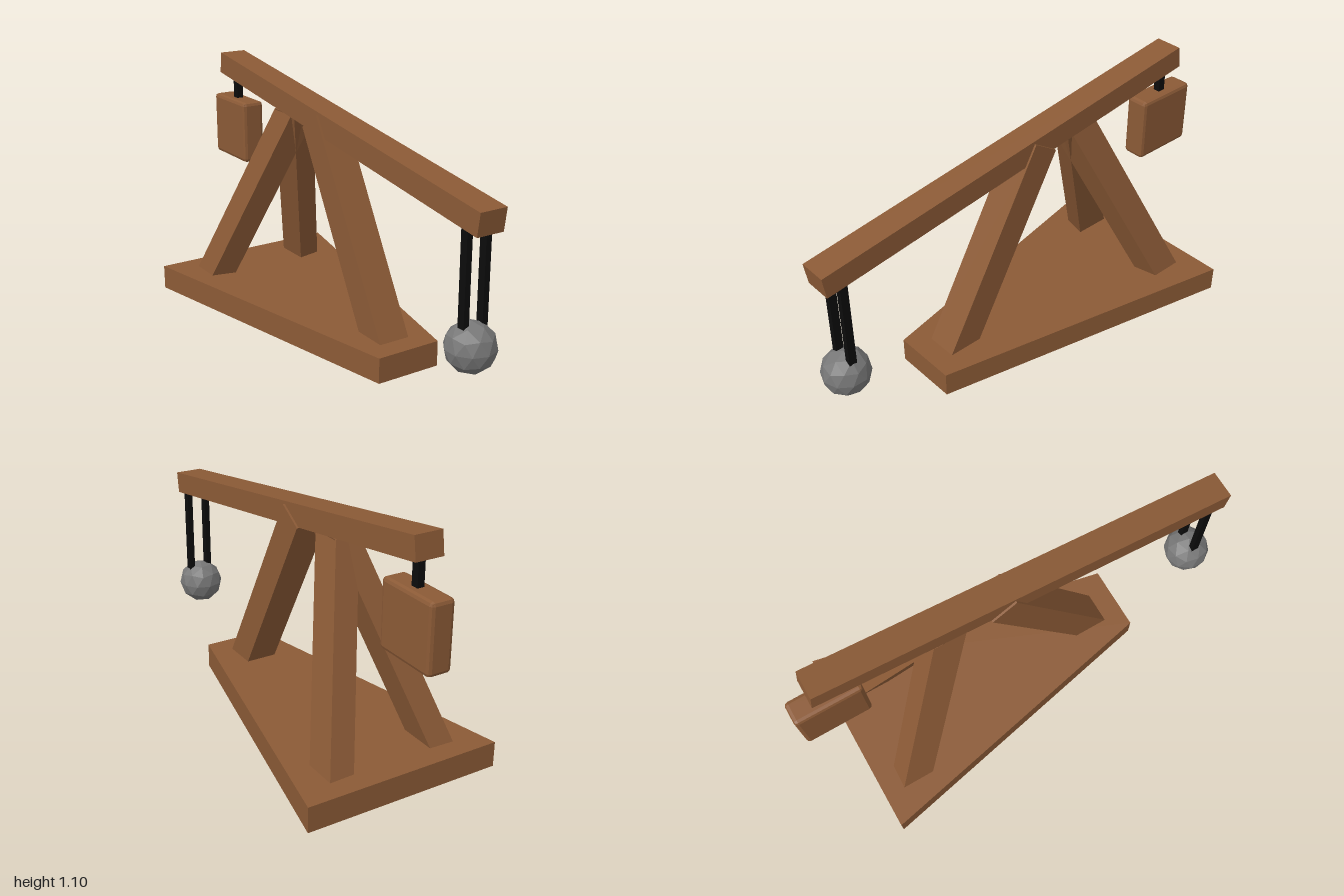
import * as THREE from 'three';
import { RoundedBoxGeometry } from 'three/addons/geometries/RoundedBoxGeometry.js';

const wood = new THREE.MeshStandardMaterial({ color: 0x8b5a36, flatShading: true });
const black = new THREE.MeshStandardMaterial({ color: 0x0c0c0c, flatShading: true });
const stone = new THREE.MeshStandardMaterial({ color: 0x777777, flatShading: true });

// Solid between two four-cornered ends, corners counterclockwise seen from above
function beam(bottom, top) {
  const pos = [];
  const quad = (a, b, c, d) => pos.push(...a, ...b, ...c, ...a, ...c, ...d);
  for (let i = 0; i < 4; i++) {
    const j = (i + 1) % 4;
    quad(bottom[i], bottom[j], top[j], top[i]);
  }
  quad(...top);
  quad(...[...bottom].reverse());
  const geometry = new THREE.BufferGeometry();
  geometry.setAttribute('position', new THREE.Float32BufferAttribute(pos, 3));
  geometry.computeVertexNormals();
  return geometry;
}

export function createModel() {
  const model = new THREE.Group();
  model.name = 'catapult';
  const add = (name, geometry, material, x = 0, y = 0, z = 0) => {
    const mesh = new THREE.Mesh(geometry, material);
    mesh.name = name;
    mesh.position.set(x, y, z);
    model.add(mesh);
    return mesh;
  };

  // Tapered base slab
  const slab = (y) => [[-0.145, y, 0.53], [0.145, y, 0.53], [0.436, y, -0.84], [-0.436, y, -0.84]];
  add('base', beam(slab(0), slab(0.11)), wood);

  // Front leg, leaning back with a square-cut top
  const across = (front, back) => [
    [-0.07, ...front], [0.07, ...front], [0.07, ...back], [-0.07, ...back],
  ];
  add('frontLeg', beam(
    across([0.1, 0.44], [0.1, 0.286]),
    across([0.96, -0.04], [0.89, -0.15]).map((p) => p),
  ).scale(1, 1, 1), wood, -0.002);

  // Rear legs, leaning forward and inward
  const foot = [[0.18, -0.58], [0.29, -0.605], [0.29, -0.75], [0.18, -0.745]];
  const section = (y, side) => {
    const points = foot.map(([x, z]) => [side * (x - 0.292 * (y - 0.11)), y, z + 0.43 * (y - 0.11)]);
    return side > 0 ? points : points.reverse();
  };
  for (const side of [1, -1]) {
    add(side > 0 ? 'leftRearLeg' : 'rightRearLeg',
      beam(section(0.1, side), section(0.92, side)), wood, -0.006);
  }

  // Tilted throwing arm
  add('arm', new THREE.BoxGeometry(0.122, 0.096, 1.904), wood, -0.002, 0.9125, 0.041).rotation.x = 0.1423;

  // Ropes and faceted ball at the front end
  for (const x of [-0.045, 0.044]) {
    add('ballRope', new THREE.BoxGeometry(0.025, 0.44, 0.034), black, x, 0.54, 0.903);
  }
  const ball = new THREE.IcosahedronGeometry(0.103, 1).rotateZ(-0.5536);
  add('ball', ball, stone, -0.006, 0.277, 0.903);

  // Rope and bevelled counterweight at the rear end
  add('weightRope', new THREE.BoxGeometry(0.03, 0.18, 0.034), black, 0, 0.95, -0.852);
  add('counterweight', new RoundedBoxGeometry(0.104, 0.287, 0.294, 1, 0.016), wood, 0, 0.738, -0.853);

  return model;
}
